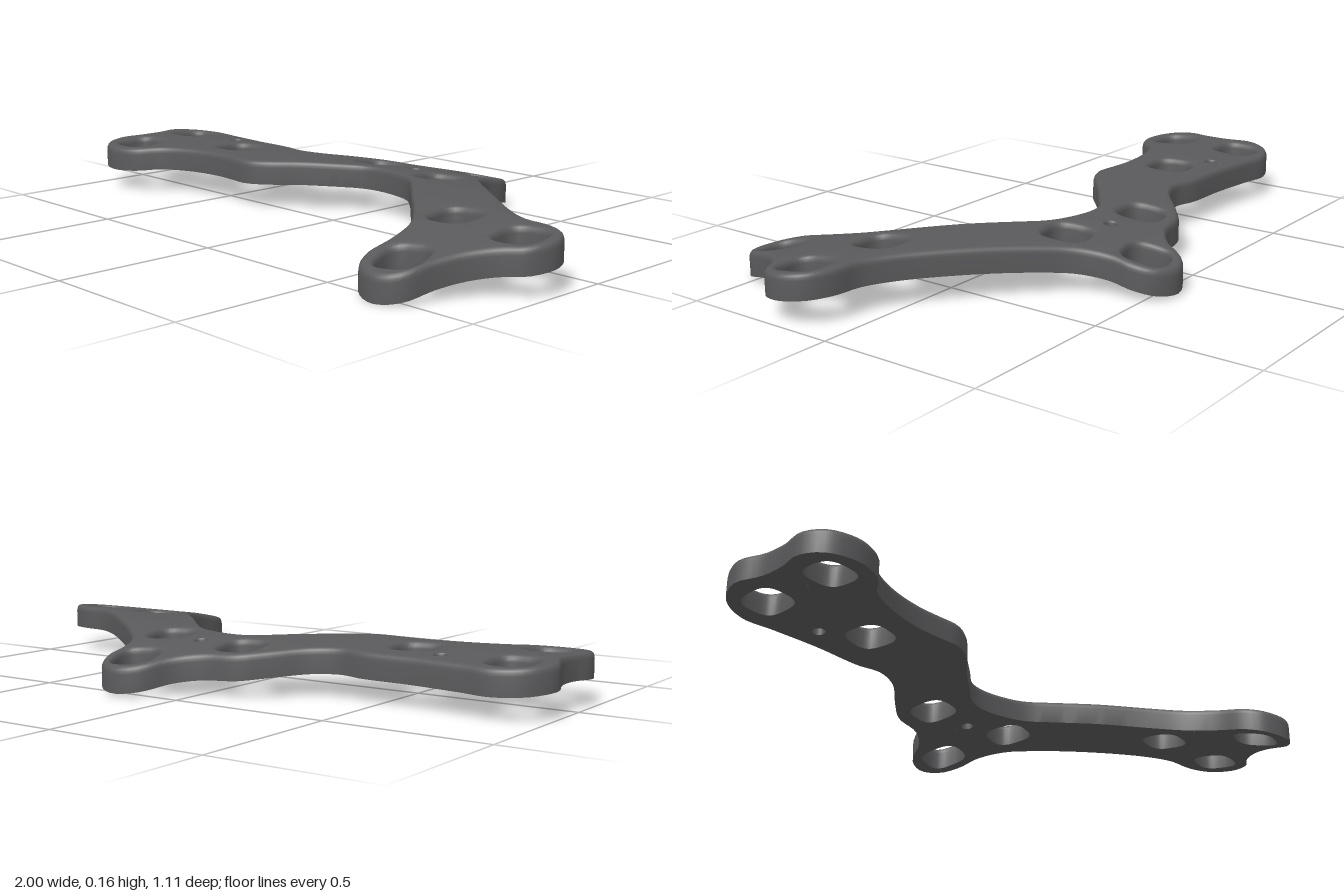
import * as THREE from 'three';
import { toCreasedNormals } from 'three/addons/utils/BufferGeometryUtils.js';

const THICK = 0.075, ROUND = 0.02, CREST = 0.08;

// Plan outline as x, z pairs
const OUTLINE = [
  -1, -.14, -.96, -.22, -.87, -.26, -.77, -.25, -.61, -.235, -.45, -.23, -.37, -.215, -.29, -.24,
  -.195, -.32, -.12, -.375, -.015, -.40, .055, -.45, .095, -.515, .135, -.547, .19, -.56, .255, -.53,
  .285, -.47, .29, -.40, .33, -.315, .405, -.24, .565, -.105, .725, .015, .805, .055, .895, .067,
  .965, .105, .995, .175, .97, .25, .905, .295, .85, .36, .815, .435, .795, .505, .76, .54,
  .71, .553, .64, .525, .607, .47, .60, .37, .57, .27, .50, .175, .377, .05, .27, -.06,
  .20, -.12, .11, -.152, .03, -.16, -.025, -.147, -.09, -.10, -.185, -.03, -.265, .04, -.335, .072,
  -.41, .067, -.49, .062, -.61, .077, -.72, .12, -.785, .185, -.875, .21, -.96, .175, -.992, .10,
  -.975, .02, -.975, -.055,
];

// Rounded square openings: x, z, turn, rim width
const OPENINGS = [
  [-.875, -.147, 0, .018], [-.87, .094, 0, .018], [-.543, -.083, -.15, .018],
  [-.067, -.275, -.12, .018], [.185, -.457, -.25, .011], [.243, -.222, -.2, .018],
  [.628, .142, -.1, .018], [.885, .18, -.12, .016], [.713, .44, -.25, .016],
];
const PIN_HOLES = [[.093, -.272], [-.666, -.168]];

function outlineLoop() {
  const pts = [];
  for (let i = 0; i < OUTLINE.length; i += 2) pts.push(new THREE.Vector3(OUTLINE[i], 0, OUTLINE[i + 1]));
  const curve = new THREE.CatmullRomCurve3(pts, true, 'centripetal');
  return curve.getSpacedPoints(240).slice(0, -1).map((p) => new THREE.Vector2(p.x, p.z));
}

// Superellipse: power 2 is a circle, higher is squarer
function holeLoop(x, z, r, power, turn, count) {
  const centre = new THREE.Vector2(x, z), pts = [];
  for (let i = 0; i < count; i++) {
    const a = (i / count) * Math.PI * 2, c = Math.cos(a), s = Math.sin(a);
    const k = r / Math.pow(Math.abs(c) ** power + Math.abs(s) ** power, 1 / power);
    pts.push(new THREE.Vector2(x + c * k, z + s * k).rotateAround(centre, turn));
  }
  return pts;
}

// Shift a loop sideways into the material
function inset(loop, d) {
  const n = loop.length;
  return loop.map((p, i) => {
    const t = loop[(i + 1) % n].clone().sub(loop[(i + n - 1) % n]).normalize();
    return new THREE.Vector2(p.x - t.y * d, p.y + t.x * d);
  });
}

function plateGeometry() {
  const loops = [{ pts: outlineLoop(), rim: 0.012 }];
  for (const [x, z, turn, rim] of OPENINGS) loops.push({ pts: holeLoop(x, z, 0.065, 3, turn, 40), rim });
  for (const [x, z] of PIN_HOLES) loops.push({ pts: holeLoop(x, z, 0.019, 2, 0, 20), rim: 0.004 });
  loops.forEach((l, i) => {
    if (THREE.ShapeUtils.isClockWise(l.pts) !== i > 0) l.pts.reverse();
  });

  const positions = [];
  // Split long edges so the faces can follow the bend
  const addTriangle = (a, b, c) => {
    const lens = [a.distanceTo(b), b.distanceTo(c), c.distanceTo(a)];
    const longest = Math.max(...lens);
    if (longest > 0.08) {
      const k = lens.indexOf(longest);
      const [p, q, r] = k === 0 ? [a, b, c] : k === 1 ? [b, c, a] : [c, a, b];
      const m = p.clone().add(q).multiplyScalar(0.5);
      addTriangle(p, m, r);
      addTriangle(m, q, r);
    } else {
      for (const v of [a, b, c]) positions.push(v.x, v.y, v.z);
    }
  };
  const raise = (pts, y) => pts.map((p) => new THREE.Vector3(p.x, y, p.y));

  // Walls: straight side with a rounded upper edge, square lower edge
  const profile = [[0, 0]];
  for (let i = 0; i <= 4; i++) {
    const a = (i / 4) * Math.PI / 2;
    profile.push([1 - Math.cos(a), THICK - ROUND + ROUND * Math.sin(a)]);
  }
  for (const { pts, rim } of loops) {
    const rings = profile.map(([d, y]) => raise(inset(pts, d * rim), y));
    for (let k = 0; k < rings.length - 1; k++) {
      const lo = rings[k], hi = rings[k + 1];
      for (let i = 0; i < pts.length; i++) {
        const j = (i + 1) % pts.length;
        addTriangle(lo[i], hi[i], lo[j]);
        addTriangle(lo[j], hi[i], hi[j]);
      }
    }
  }

  // Upper and lower faces
  for (const top of [false, true]) {
    const flat = loops.map((l) => inset(l.pts, top ? l.rim : 0));
    const tris = THREE.ShapeUtils.triangulateShape(flat[0], flat.slice(1));
    const verts = raise(flat.flat(), top ? THICK : 0);
    for (const [a, b, c] of tris) {
      if (top) addTriangle(verts[a], verts[c], verts[b]);
      else addTriangle(verts[a], verts[b], verts[c]);
    }
  }

  // Bend the plate down towards front and back
  for (let i = 0; i < positions.length; i += 3) {
    positions[i + 1] += CREST - (positions[i + 2] + 0.02) ** 2 / 4.1;
  }

  const geo = new THREE.BufferGeometry();
  geo.setAttribute('position', new THREE.Float32BufferAttribute(positions, 3));
  // Enlarged while finding creases, so fine rims stay distinct
  geo.scale(20, 20, 20);
  const creased = toCreasedNormals(geo, 0.7);
  creased.scale(0.05, 0.05, 0.05);
  return creased;
}

export function createModel() {
  const group = new THREE.Group();
  group.name = 'curvedBracket';
  const darkGrey = new THREE.MeshStandardMaterial({ color: 0x5a5a5c });
  darkGrey.name = 'darkGrey';
  const plate = new THREE.Mesh(plateGeometry(), darkGrey);
  plate.name = 'bracketPlate';
  group.add(plate);
  return group;
}
